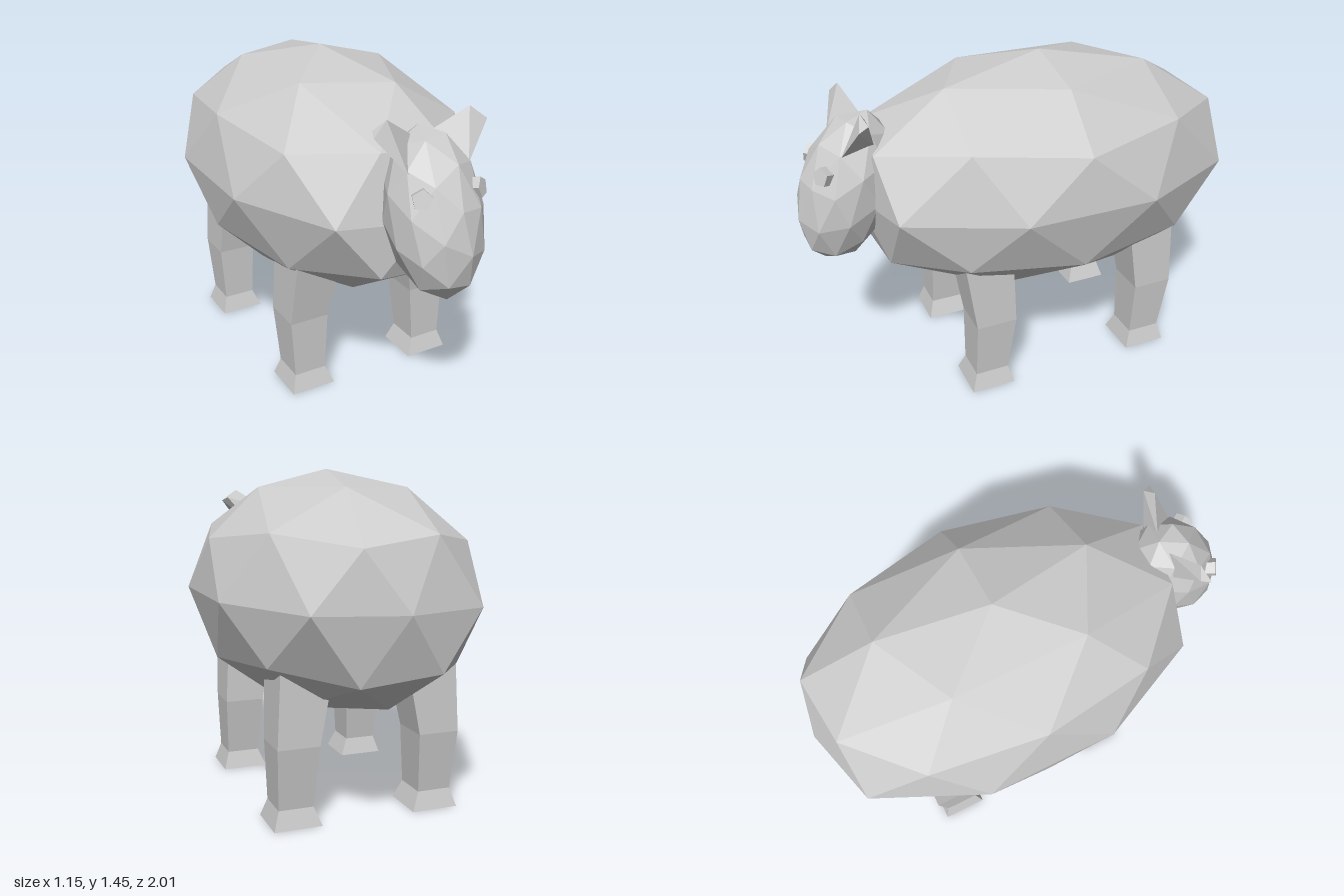
import * as THREE from 'three';
import { ConvexGeometry } from 'three/addons/geometries/ConvexGeometry.js';

const grey = new THREE.MeshStandardMaterial({ name: 'grey', color: 0xcccccc, flatShading: true });

function add(parent, name, geometry) {
  const mesh = new THREE.Mesh(geometry, grey);
  mesh.name = name;
  parent.add(mesh);
  return mesh;
}

// 80-sided ball with a corner on each y pole
function facetedBall() {
  return new THREE.IcosahedronGeometry(1, 1).rotateZ(-Math.atan(2 / (1 + Math.sqrt(5))));
}

// Joins rectangular sections [y, x0, x1, z0, z1], listed from bottom to top
function loft(sections) {
  const rings = sections.map(([y, x0, x1, z0, z1]) =>
    [[x0, y, z1], [x1, y, z1], [x1, y, z0], [x0, y, z0]]);
  const positions = [];
  const quad = (a, b, c, d) => positions.push(...a, ...b, ...c, ...a, ...c, ...d);
  for (let i = 0; i < rings.length - 1; i++) {
    for (let j = 0; j < 4; j++) {
      const k = (j + 1) % 4;
      quad(rings[i][j], rings[i][k], rings[i + 1][k], rings[i + 1][j]);
    }
  }
  quad(...rings[0].slice().reverse());
  quad(...rings[rings.length - 1]);
  const geometry = new THREE.BufferGeometry();
  geometry.setAttribute('position', new THREE.Float32BufferAttribute(positions, 3));
  geometry.computeVertexNormals();
  return geometry;
}

export function createModel() {
  const model = new THREE.Group();
  model.name = 'sheep';

  // Body, with the front and rear tips pushed in a little
  const bodyGeometry = facetedBall();
  const p = bodyGeometry.attributes.position;
  for (let i = 0; i < p.count; i++) {
    if (Math.abs(p.getZ(i)) > 0.99) p.setZ(i, p.getZ(i) * 0.917);
  }
  bodyGeometry.scale(0.604, 0.54, 0.96).translate(0, 0.915, -0.12);
  bodyGeometry.computeVertexNormals();
  add(model, 'body', bodyGeometry);

  // Head, tipped back at the crown
  const head = new THREE.Group();
  head.name = 'head';
  model.add(head);
  const skull = facetedBall().rotateX(Math.PI / 2).scale(0.2, 0.35, 0.2);
  skull.rotateX(-0.35).translate(0.005, 0.968, 0.787);
  skull.computeVertexNormals();
  add(head, 'skull', skull);

  for (const side of [1, -1]) {
    const label = side > 0 ? 'left' : 'right';

    // Ear: wide base narrowing to a blunt tip
    const earPoints = [
      [0.05, 1.27, 0.69], [0.14, 1.16, 0.82], [0.13, 1.19, 0.68],
      [0.19, 1.36, 0.74], [0.26, 1.305, 0.765], [0.24, 1.32, 0.72],
    ].map(([x, y, z]) => new THREE.Vector3(side * x, y, z));
    add(head, label + 'Ear', new ConvexGeometry(earPoints));

    // Eye: five-sided peg facing outward
    const eye = add(head, label + 'Eye', new THREE.CylinderGeometry(0.042, 0.042, 0.06, 5));
    eye.position.set(side * 0.123, 1.085, 0.888);
    eye.quaternion.setFromUnitVectors(
      new THREE.Vector3(0, 1, 0), new THREE.Vector3(side * 0.5, 0.25, 0.8).normalize());

    // Legs with flared hooves
    for (const [end, dz] of [['Front', 0], ['Back', -0.81]]) {
      const sections = [
        [0, 0.207, 0.415, 0.177, 0.382],
        [0.08, 0.24, 0.39, 0.2, 0.355],
        [0.345, 0.223, 0.404, 0.163, 0.35],
        [0.7, 0.155, 0.386, 0.17, 0.397],
      ].map(([y, x0, x1, z0, z1]) => side > 0
        ? [y, x0, x1, z0 + dz, z1 + dz]
        : [y, -x1, -x0, z0 + dz, z1 + dz]);
      add(model, label + end + 'Leg', loft(sections));
    }
  }
  return model;
}
